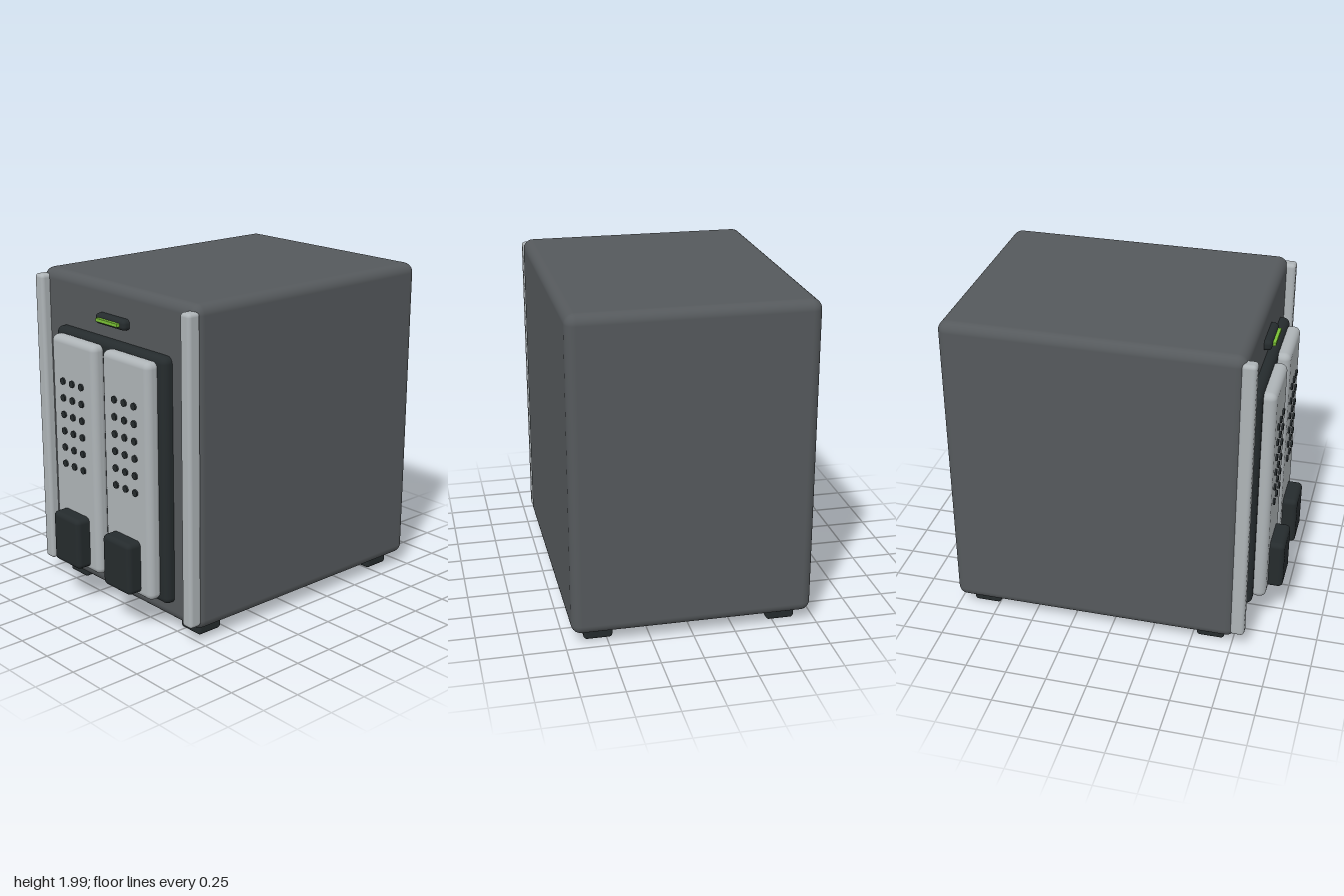
import * as THREE from 'three';
import { RoundedBoxGeometry } from 'three/addons/geometries/RoundedBoxGeometry.js';

const material = (color) => new THREE.MeshStandardMaterial({ color });

export function createModel() {
  const model = new THREE.Group();
  const shell = material(0x55595c);
  const silver = material(0xaeb4b7);
  const dark = material(0x252b2d);
  const green = material(0x7ac035);

  // Rounded box given by its [min, max] extents on each axis
  function block(name, [x0, x1], [y0, y1], [z0, z1], radius, mat, parent = model) {
    const geometry = new RoundedBoxGeometry(x1 - x0, y1 - y0, z1 - z0, 4, radius);
    const mesh = new THREE.Mesh(geometry, mat);
    mesh.position.set((x0 + x1) / 2, (y0 + y1) / 2, (z0 + z1) / 2);
    mesh.name = name;
    parent.add(mesh);
    return mesh;
  }

  // Housing and the recessed-looking front frame
  block('housing', [-0.715, 0.715], [0.075, 1.988], [-1, 0.775], 0.06, shell);
  block('bayFrame', [-0.51, 0.51], [0.188, 1.67], [0.73, 0.835], 0.04, dark);

  // Status light in its surround
  block('lightSurround', [-0.137, 0.137], [1.747, 1.811], [0.75, 0.82], 0.025, dark);
  block('statusLight', [-0.1, 0.1], [1.768, 1.79], [0.79, 0.84], 0.004, green);

  const holeGeometry = new THREE.CylinderGeometry(0.021, 0.021, 0.03, 16).rotateX(Math.PI / 2);

  for (const side of [-1, 1]) {
    const prefix = side > 0 ? 'left' : 'right';
    const span = (a, b) => (side > 0 ? [a, b] : [-b, -a]);

    // Vertical trim rail
    block(prefix + 'Rail', span(0.635, 0.716), [0.112, 1.953], [0.745, 0.83], 0.022, silver);

    // Drive tray with handle and ventilation holes
    const tray = new THREE.Group();
    tray.name = prefix + 'DriveTray';
    model.add(tray);
    block('trayPanel', span(0.035, 0.457), [0.216, 1.643], [0.815, 0.91], 0.04, silver, tray);
    block('trayHandle', span(0.12, 0.37), [0.25, 0.568], [0.87, 1], 0.03, dark, tray);
    for (let row = 0; row < 6; row++) {
      for (let col = -1; col <= 1; col++) {
        const hole = new THREE.Mesh(holeGeometry, dark);
        hole.name = 'ventHole';
        hole.position.set(side * 0.247 + col * 0.089, 1.375 - row * 0.103, 0.906);
        tray.add(hole);
      }
    }

    // Feet
    block(prefix + 'FrontFoot', span(0.465, 0.635), [0, 0.1], [0.525, 0.695], 0.02, dark);
    block(prefix + 'BackFoot', span(0.465, 0.635), [0, 0.1], [-0.915, -0.745], 0.02, dark);
  }

  return model;
}
